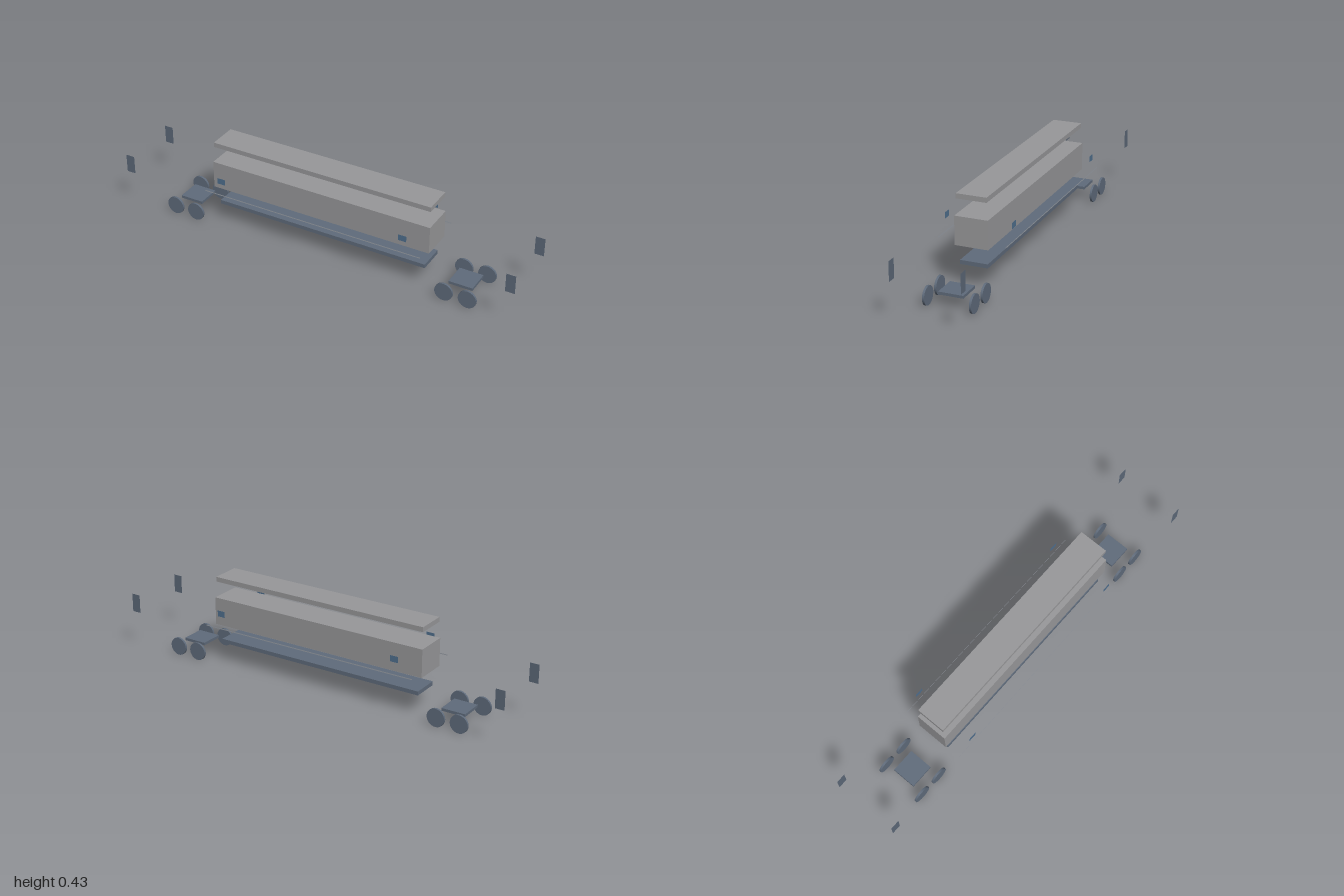
import * as THREE from 'three';

export function createModel() {
  const root = new THREE.Group();
  root.name = 'explodedRailCar';
  const mat = (name, color, side = THREE.FrontSide) => {
    const m = new THREE.MeshStandardMaterial({ color, side });
    m.name = name;
    return m;
  };
  const bodyGrey = mat('bodyGrey', 0x98989a);
  const steel = mat('steelBlueGrey', 0x5f6b7b);
  const doorSteel = mat('doorBlueGrey', 0x5c6878, THREE.DoubleSide);
  const glass = mat('windowBlue', 0x4f6f8e, THREE.DoubleSide);
  const trim = mat('trimGrey', 0x9aa0a8, THREE.DoubleSide);

  const add = (name, geometry, material, x, y, z, parent = root) => {
    const mesh = new THREE.Mesh(geometry, material);
    mesh.name = name;
    mesh.position.set(x, y, z);
    parent.add(mesh);
    return mesh;
  };

  // Stacked long parts: roof, body and underframe
  add('roof', new THREE.BoxGeometry(1.11, 0.023, 0.142), bodyGrey, 0, 0.419, 0);
  add('body', new THREE.BoxGeometry(1.117, 0.134, 0.156), bodyGrey, 0, 0.263, 0);
  add('underframe', new THREE.BoxGeometry(1.07, 0.019, 0.13), steel, 0, 0.111, 0);

  const windowGeo = new THREE.PlaneGeometry(0.04, 0.029);
  const doorGeo = new THREE.PlaneGeometry(0.045, 0.09);
  const stripeGeo = new THREE.PlaneGeometry(1.11, 0.005);
  const wheelGeo = new THREE.CylinderGeometry(0.0435, 0.0435, 0.01, 32).rotateX(Math.PI / 2);
  const plateGeo = new THREE.BoxGeometry(0.116, 0.013, 0.116);

  // Flat side panels floating clear of the body
  for (const side of [1, -1]) {
    const turn = side > 0 ? 0 : Math.PI;
    add('sideStripe', stripeGeo, trim, 0, 0.218, side * 0.157).rotation.y = turn;
    for (const end of [1, -1]) {
      add('window', windowGeo, glass, end * 0.465, 0.292, side * 0.157).rotation.y = turn;
      add('door', doorGeo, doorSteel, end * 0.9775, 0.235, side * 0.159).rotation.y = turn;
    }
  }

  // Bogies: one plate and four separate wheel discs at each end
  for (const end of [1, -1]) {
    const bogie = new THREE.Group();
    bogie.name = end > 0 ? 'leftBogie' : 'rightBogie';
    bogie.position.x = end * 0.708;
    root.add(bogie);
    add('bogiePlate', plateGeo, steel, 0, 0.063, 0, bogie);
    for (const dx of [-0.057, 0.057]) {
      for (const z of [-0.107, 0.107]) add('wheel', wheelGeo, steel, dx, 0.0435, z, bogie);
    }
  }
  return root;
}
